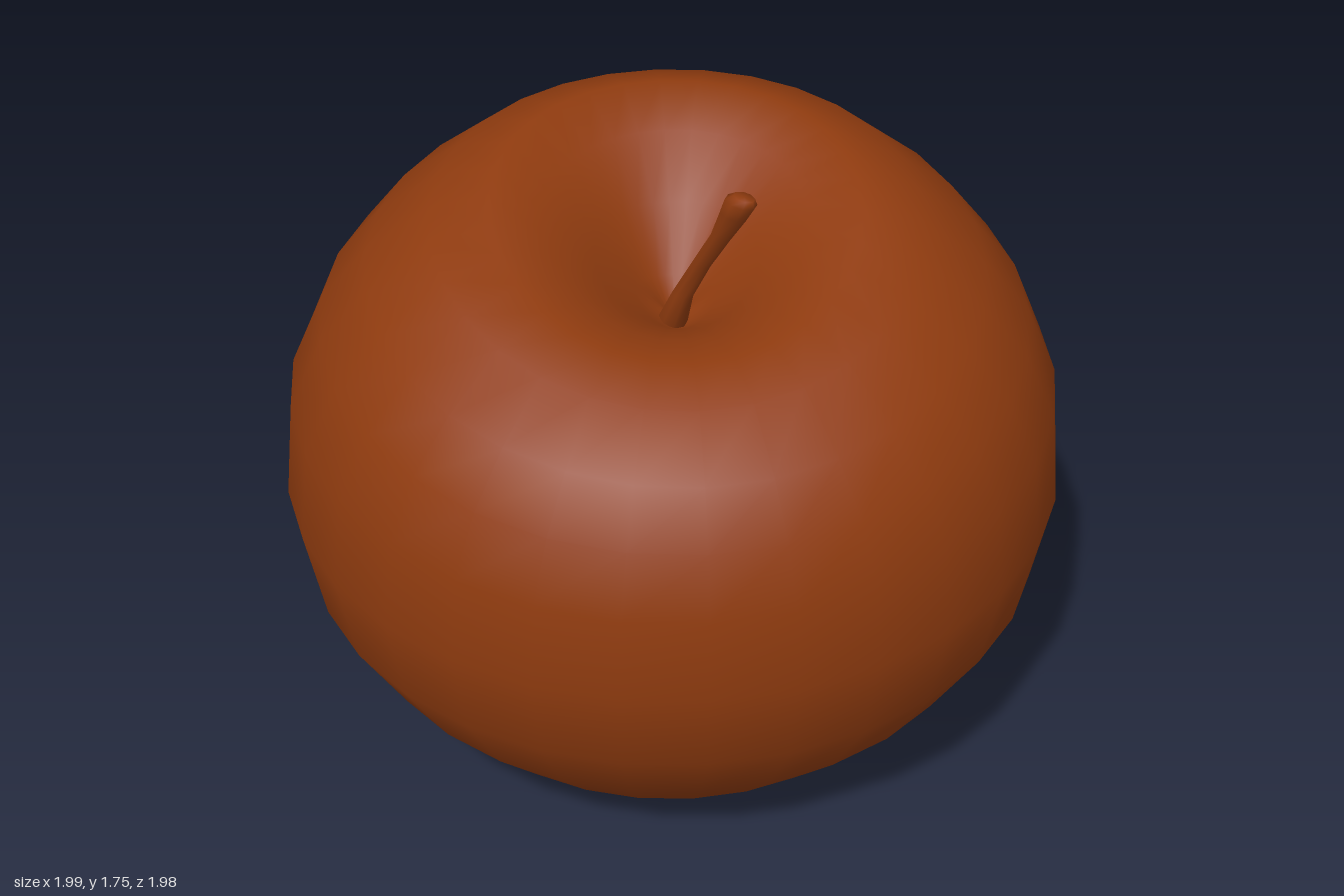
import * as THREE from 'three';

// Skins rings of points (listed top to bottom) into one smooth closed surface.
function loft(rings) {
  const n = rings[0].length, last = (rings.length - 1) * n;
  const pos = [], index = [];
  const middle = ring => ring.reduce((s, p) => s.add(p), new THREE.Vector3()).divideScalar(n);
  rings.flat().forEach(p => pos.push(p.x, p.y, p.z));
  const top = last + n, bottom = top + 1;
  pos.push(...middle(rings[0]).toArray(), ...middle(rings[rings.length - 1]).toArray());
  for (let i = 0; i < n; i++) {
    const j = (i + 1) % n;
    for (let r = 0; r < last; r += n) {
      index.push(r + i, r + n + i, r + j, r + j, r + n + i, r + n + j);
    }
    index.push(top, i, j, bottom, last + j, last + i);
  }
  const geo = new THREE.BufferGeometry();
  geo.setAttribute('position', new THREE.Float32BufferAttribute(pos, 3));
  geo.setIndex(index);
  geo.computeVertexNormals();
  return geo;
}

// Tilted ellipse through a front and a back point, raised slightly at its sides.
function tiltedRing([zf, yf, zb, yb, w], sides) {
  return Array.from({ length: sides }, (_, i) => {
    const t = (i / sides) * Math.PI * 2, c = Math.cos(t), s = Math.sin(t);
    const y = (yf + yb) / 2 + (yf - yb) / 2 * c;
    return new THREE.Vector3(w * s, y + 0.025 * y * s * s, (zf + zb) / 2 + (zf - zb) / 2 * c);
  });
}

export function createModel() {
  const group = new THREE.Group();
  group.name = 'apple';
  const skin = new THREE.MeshStandardMaterial({ color: 0x8f3b0f });
  skin.name = 'russet brown';
  const add = (name, geo, parent = group) => {
    const mesh = new THREE.Mesh(geo, skin);
    mesh.name = name;
    parent.add(mesh);
    return mesh;
  };

  // Fruit: front z, front y, back z, back y, half width
  const profile = [
    [0.14, 1.28, 0.08, 1.28, 0.03],
    [0.20, 1.31, 0.01, 1.35, 0.10],
    [0.30, 1.37, -0.09, 1.50, 0.20],
    [0.42, 1.42, -0.21, 1.64, 0.32],
    [0.55, 1.44, -0.35, 1.705, 0.45],
    [0.70, 1.41, -0.51, 1.655, 0.60],
    [0.84, 1.30, -0.68, 1.52, 0.76],
    [0.93, 1.18, -0.82, 1.35, 0.88],
    [0.975, 1.02, -0.94, 1.10, 0.97],
    [0.99, 0.80, -0.99, 0.78, 1.00],
    [0.94, 0.56, -0.95, 0.52, 0.955],
    [0.80, 0.34, -0.84, 0.28, 0.83],
    [0.60, 0.13, -0.70, 0.12, 0.67],
    [0.46, 0.05, -0.56, 0.04, 0.51],
    [0.30, 0.01, -0.36, 0.01, 0.34],
    [0.20, 0.05, -0.18, 0.05, 0.20],
    [0.13, 0.14, -0.07, 0.14, 0.10],
    [0.06, 0.17, 0.00, 0.17, 0.03],
  ];
  add('fruit', loft(profile.map(p => tiltedRing(p, 30))));

  // Stem: x, y, z, radius, with a flared and slanted tip
  const stemPath = [
    [0.135, 1.755, 0.345, 0.025],
    [0.128, 1.74, 0.34, 0.038],
    [0.115, 1.70, 0.325, 0.034],
    [0.09, 1.62, 0.285, 0.025],
    [0.05, 1.51, 0.225, 0.023],
    [0.01, 1.39, 0.165, 0.026],
    [-0.02, 1.27, 0.13, 0.04],
  ];
  add('stem', loft(stemPath.map(([x, y, z, r]) => Array.from({ length: 8 }, (_, i) => {
    const t = (i / 8) * Math.PI * 2;
    return new THREE.Vector3(x + r * Math.sin(t), y - 0.25 * r * Math.sin(t), z + r * Math.cos(t));
  }))));

  // Dried flower remains in the hollow underneath
  const calyx = new THREE.Group();
  calyx.name = 'calyx';
  calyx.position.set(0, 0.1, 0.03);
  group.add(calyx);
  for (let i = 0; i < 6; i++) {
    const pivot = new THREE.Group();
    pivot.name = 'sepalPivot';
    pivot.rotation.y = (i / 6) * Math.PI * 2 + 0.2 * (i % 2);
    calyx.add(pivot);
    const sepal = add('sepal', new THREE.ConeGeometry(0.045, 0.13, 6), pivot);
    sepal.scale.z = 0.35;
    sepal.position.set(0, 0, 0.085);
    sepal.rotation.x = Math.PI + (i % 2 ? 0.75 : 0.45);
  }
  return group;
}
